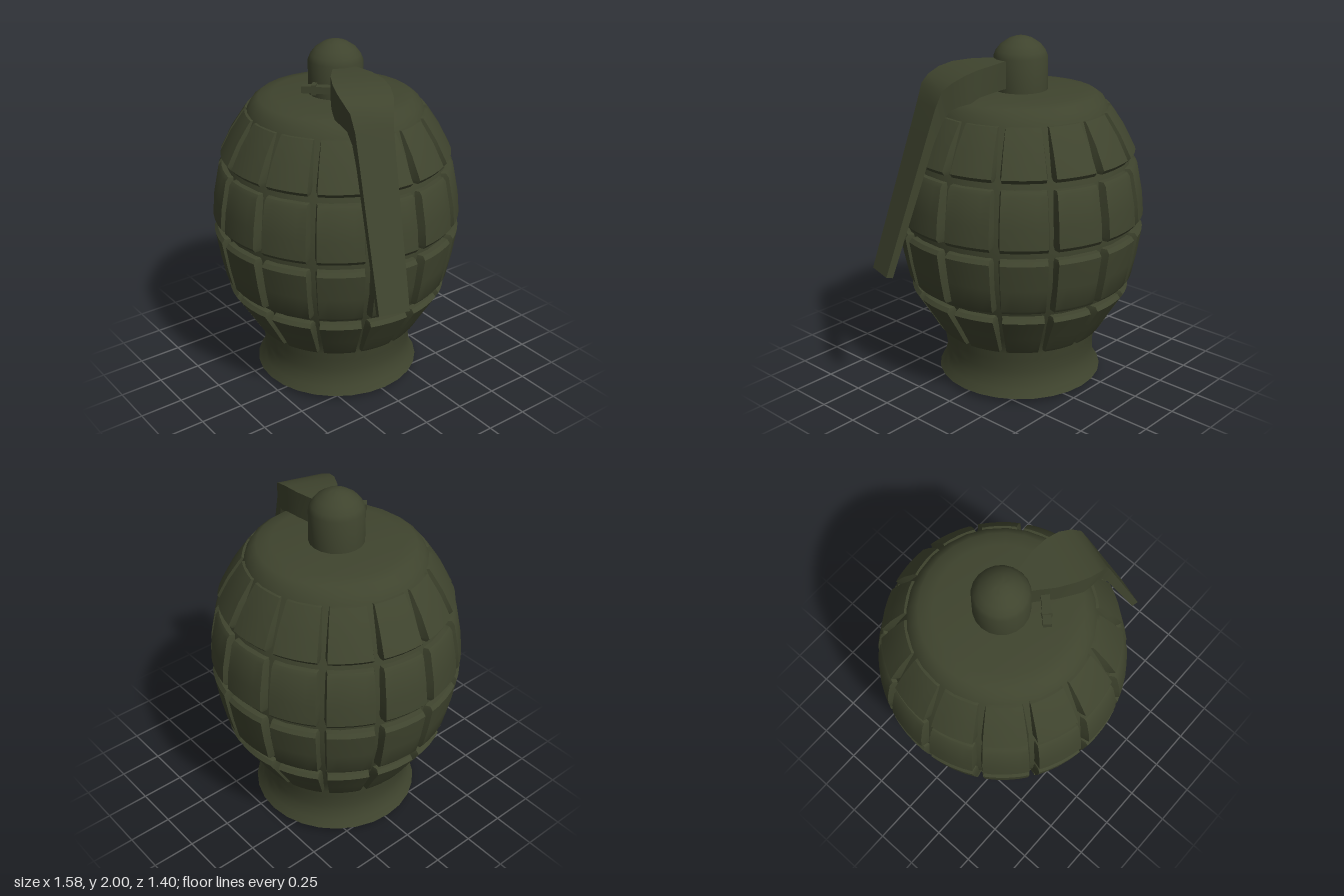
import * as THREE from 'three';
import { toCreasedNormals } from 'three/addons/utils/BufferGeometryUtils.js';

const COLUMNS = 14;
const BODY_X = -0.1;
const STEP = (Math.PI * 2) / COLUMNS;
const FIRST = THREE.MathUtils.degToRad(4.6);

function lathe(points, segments) {
  const profile = points.map(([r, y]) => new THREE.Vector2(r, y));
  return toCreasedNormals(new THREE.LatheGeometry(profile, segments), 0.6);
}

// One raised, bevelled plate wrapped round the body; rows are [radius, y] from bottom to top
function plateGeometry(angle, rows) {
  const us = [-1, -0.88, -0.5, 0, 0.5, 0.88, 1];
  const first = rows[0], last = rows[rows.length - 1];
  const depth = 0.055;
  const levels = [
    [first[0] - depth, first[1] - 0.004],
    [first[0] - 0.014, first[1]],
    [first[0] + 0.003, first[1] + 0.022],
    ...rows.slice(1, -1),
    [last[0] + 0.003, last[1] - 0.022],
    [last[0] - 0.014, last[1]],
    [last[0] - depth, last[1] + 0.004],
  ];
  const nu = us.length, nv = levels.length;
  const geo = new THREE.PlaneGeometry(1, 1, nu - 1, nv - 1);
  const pos = geo.attributes.position;
  for (let j = 0; j < nv; j++) {
    for (let i = 0; i < nu; i++) {
      const [r, y] = levels[nv - 1 - j];
      const side = i === 0 || i === nu - 1;
      const radius = side ? Math.min(r, r - depth) : r;
      const a = angle + us[i] * STEP * 0.465;
      pos.setXYZ(j * nu + i, Math.sin(a) * radius, y, Math.cos(a) * radius);
    }
  }
  return toCreasedNormals(geo, 0.5);
}

// Solid strip through rectangular sections: [outer s, outer y, inner s, inner y, half width]
function stripGeometry(sections) {
  const verts = [], index = [];
  for (const [so, yo, si, yi, w] of sections) {
    verts.push(so, yo, -w, so, yo, w, si, yi, w, si, yi, -w);
  }
  for (let k = 0; k < sections.length - 1; k++) {
    for (let c = 0; c < 4; c++) {
      const a = k * 4 + c, b = k * 4 + ((c + 1) % 4);
      index.push(a, b, a + 4, b, b + 4, a + 4);
    }
  }
  const e = (sections.length - 1) * 4;
  index.push(0, 2, 1, 0, 3, 2, e, e + 1, e + 2, e, e + 2, e + 3);
  const geo = new THREE.BufferGeometry();
  geo.setAttribute('position', new THREE.Float32BufferAttribute(verts, 3));
  geo.setIndex(index);
  return toCreasedNormals(geo, 0.6);
}

export function createModel() {
  const model = new THREE.Group();
  model.name = 'grenade';
  const olive = new THREE.MeshStandardMaterial({ color: 0x3f442e });
  olive.name = 'olive green';

  const add = (parent, name, geometry) => {
    const mesh = new THREE.Mesh(geometry, olive);
    mesh.name = name;
    parent.add(mesh);
    return mesh;
  };

  const body = new THREE.Group();
  body.name = 'body';
  body.position.x = BODY_X;
  model.add(body);

  // Core with flared foot and rounded shoulder
  add(body, 'core', lathe([
    [0, 0], [0.478, 0.03], [0.45, 0.075], [0.436, 0.13], [0.432, 0.18],
    [0.442, 0.25], [0.45, 0.3], [0.455, 0.33], [0.49, 0.4], [0.585, 0.6],
    [0.635, 0.78], [0.655, 0.97], [0.645, 1.12], [0.615, 1.33], [0.545, 1.5],
    [0.492, 1.61], [0.465, 1.66], [0.425, 1.69], [0.35, 1.703], [0, 1.71],
  ], 28));

  // Four rings of raised plates
  const rings = [
    [[0.49, 0.32], [0.55, 0.44], [0.625, 0.59]],
    [[0.645, 0.63], [0.675, 0.78], [0.695, 0.95]],
    [[0.697, 0.995], [0.69, 1.13], [0.655, 1.315]],
    [[0.64, 1.355], [0.58, 1.5], [0.515, 1.615]],
  ];
  rings.forEach((rows, n) => {
    const ring = new THREE.Group();
    ring.name = 'plateRing' + (n + 1);
    for (let i = 0; i < COLUMNS; i++) {
      add(ring, 'plate', plateGeometry(FIRST + i * STEP, rows));
    }
    body.add(ring);
  });

  // Domed fuse cap
  add(body, 'fuseCap', lathe([
    [0.15, 1.69], [0.15, 1.89], [0.138, 1.92], [0.11, 1.955],
    [0.065, 1.985], [0.03, 1.997], [0, 2],
  ], 20));

  // Safety lever, swung slightly towards the front
  const lever = add(body, 'lever', stripGeometry([
    [0.1, 1.88, 0.1, 1.73, 0.05],
    [0.16, 1.882, 0.16, 1.732, 0.075],
    [0.25, 1.88, 0.25, 1.732, 0.115],
    [0.35, 1.872, 0.34, 1.725, 0.14],
    [0.43, 1.852, 0.40, 1.7, 0.146],
    [0.5, 1.82, 0.46, 1.69, 0.136],
    [0.55, 1.78, 0.508, 1.67, 0.118],
    [0.585, 1.69, 0.545, 1.61, 0.104],
    [0.635, 1.545, 0.597, 1.5, 0.1],
    [0.893, 0.8, 0.855, 0.79, 0.085],
  ]));
  lever.rotation.y = -0.29;

  // Short retaining pin beside the cap
  const pin = new THREE.Group();
  pin.name = 'pin';
  pin.position.set(0.02, 1.79, 0.19);
  pin.rotation.y = Math.atan2(-0.1, 0.1);
  add(pin, 'pinShaft', new THREE.BoxGeometry(0.045, 0.038, 0.19));
  add(pin, 'pinCollar', new THREE.BoxGeometry(0.055, 0.055, 0.025)).position.z = 0.03;
  model.add(pin);

  return model;
}
